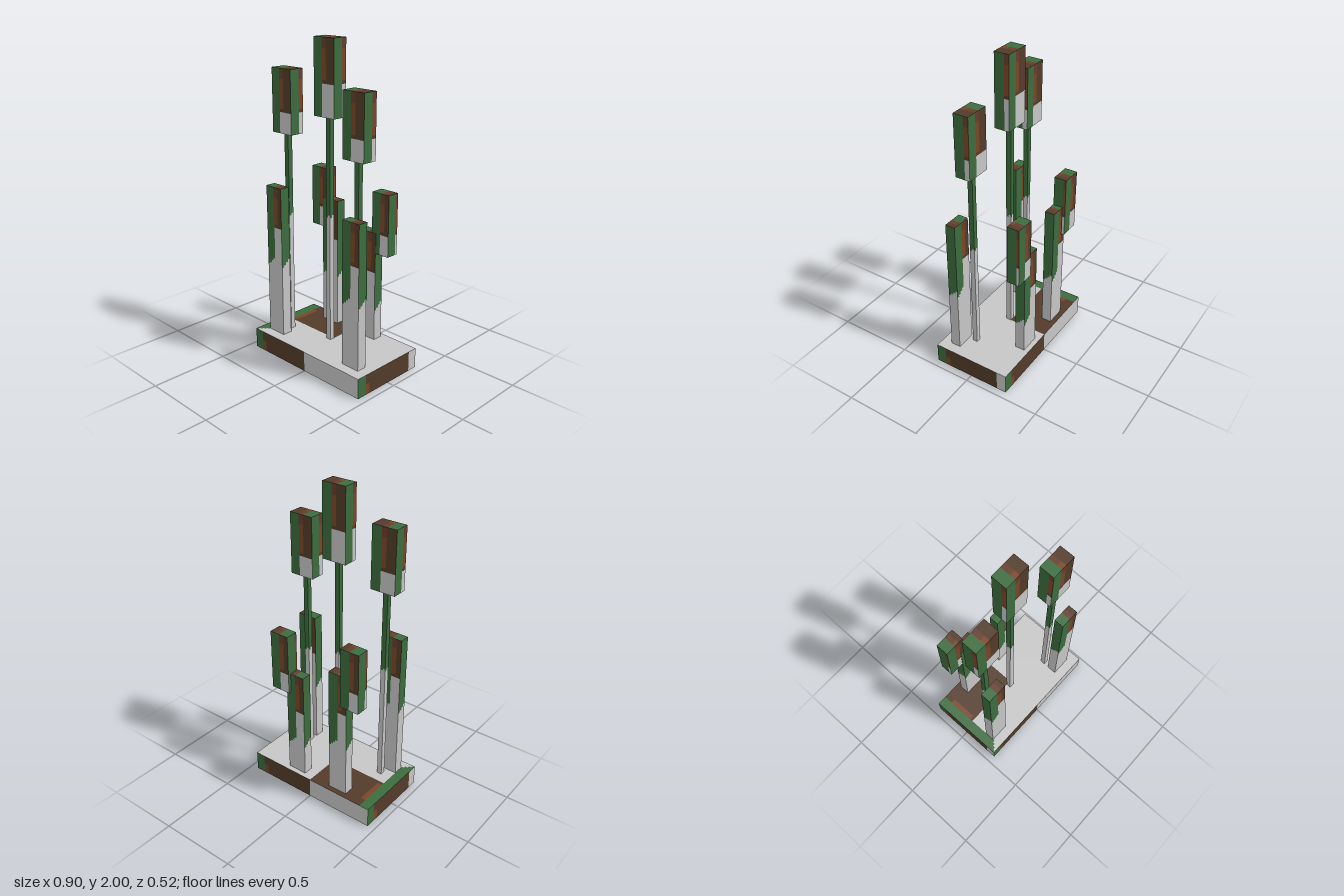
import * as THREE from 'three';

const U = 2 / 62; // one grid unit; colour patches are measured in it
const mat = (name, color) => {
  const m = new THREE.MeshStandardMaterial({ color });
  m.name = name;
  return m;
};

// Colour patches on every face, measured from its upper left corner: [colour, u0, v0, u1, v1]
const GREEN = 0, BROWN = 1, RUST = 2, UMBER = 3, PALE = 4;
const INF = 1000;
function makePatches(topStrip) {
  const list = [
    [topStrip, 2, 0, 3, 1.9],
    [RUST, 2, 1.9, 3, 7.4],
    [BROWN, 2, 7.4, 3, 8],
    [BROWN, 3, 0, 14, 8],
    [PALE, 2, 8, 14, INF],
    [PALE, 14, 0, INF, INF],
  ];
  // green band with a stepped lower end
  [15.8, 15.4, 14.9, 14.4].forEach((end, i) => {
    list.push([GREEN, i / 2, 0, (i + 1) / 2, end], [PALE, i / 2, end, (i + 1) / 2, INF]);
  });
  return list;
}

// The six faces: outward normal, u direction (right), v direction (down)
const FACES = [
  [[0, 0, 1], [1, 0, 0], [0, -1, 0]],
  [[0, 0, -1], [-1, 0, 0], [0, -1, 0]],
  [[1, 0, 0], [0, 0, -1], [0, -1, 0]],
  [[-1, 0, 0], [0, 0, 1], [0, -1, 0]],
  [[0, 1, 0], [1, 0, 0], [0, 0, 1]],
  [[0, -1, 0], [1, 0, 0], [0, 0, -1]],
].map((f) => f.map((a) => new THREE.Vector3(...a)));

// Box between two corners, each face cut into its colour patches
function patchedBox(name, min, max, materials, patches, stretch = 1) {
  const lo = new THREE.Vector3(...min), hi = new THREE.Vector3(...max);
  const center = lo.clone().add(hi).multiplyScalar(0.5);
  const size = hi.clone().sub(lo);
  const buckets = materials.map(() => ({ pos: [], nor: [] }));
  for (const [n, u, v] of FACES) {
    const w = Math.abs(u.dot(size)), h = Math.abs(v.dot(size)), d = Math.abs(n.dot(size));
    const origin = center.clone().addScaledVector(n, d / 2)
      .addScaledVector(u, -w / 2).addScaledVector(v, -h / 2);
    const at = (a, b) => origin.clone().addScaledVector(u, a).addScaledVector(v, b).toArray();
    for (const [c, pu0, pv0, pu1, pv1] of patches) {
      const u0 = pu0 * U, v0 = pv0 * U * stretch;
      const u1 = Math.min(pu1 * U, w), v1 = Math.min(pv1 * U * stretch, h);
      if (u1 - u0 < 1e-5 || v1 - v0 < 1e-5) continue;
      const a = at(u0, v0), b = at(u0, v1), e = at(u1, v1), f = at(u1, v0);
      buckets[c].pos.push(...a, ...b, ...e, ...a, ...e, ...f);
      for (let i = 0; i < 6; i++) buckets[c].nor.push(n.x, n.y, n.z);
    }
  }
  const geo = new THREE.BufferGeometry();
  const pos = [], nor = [];
  buckets.forEach((b, i) => {
    if (b.pos.length) geo.addGroup(pos.length / 3, b.pos.length / 3, i);
    pos.push(...b.pos);
    nor.push(...b.nor);
  });
  geo.setAttribute('position', new THREE.Float32BufferAttribute(pos, 3));
  geo.setAttribute('normal', new THREE.Float32BufferAttribute(nor, 3));
  const mesh = new THREE.Mesh(geo, materials);
  mesh.name = name;
  return mesh;
}

export function createModel() {
  const model = new THREE.Group();
  model.name = 'reedBed';
  const materials = [
    mat('green', 0x3c6c3e),
    mat('darkBrown', 0x533b29),
    mat('rust', 0x7a4627),
    mat('umber', 0x663d2c),
    mat('paleGrey', 0xc6c6c6),
  ];
  const plain = makePatches(BROWN), banded = makePatches(UMBER);
  const ground = 4 * U;
  const add = (name, min, max, patches = banded, stretch = 1) =>
    model.add(patchedBox(name, min, max, materials, patches, stretch));

  // base slab
  add('base', [-14 * U, 0, -8 * U], [14 * U, ground, 8 * U], plain);

  // tall reeds: thin stem with a block head [x, z, head bottom, head height, green stretch]
  [
    [-12, 1, 44, 12, 1.02],
    [-3, -1, 48, 14, 1.2],
    [6, 1, 42, 12, 1.02],
  ].forEach(([x, z, y, h, stretch]) => {
    add('reedStem', [(x + 2) * U, ground, (z + 1) * U], [(x + 3) * U, y * U, (z + 2) * U], banded, stretch);
    add('reedHead', [x * U, y * U, z * U], [(x + 5) * U, (y + h) * U, (z + 3) * U]);
  });

  // flat upright leaves [x, z, top]
  [
    [-12, 4, 34],
    [8, 4, 32],
    [-8, -7, 30],
    [2, -7, 26],
  ].forEach(([x, z, top]) =>
    add('leaf', [x * U, ground, z * U], [(x + 4) * U, top * U, (z + 2) * U]));

  // smaller heads joined to the rear leaves [x, bottom]
  [
    [-11, 24],
    [5, 22],
  ].forEach(([x, y]) =>
    add('rearHead', [x * U, y * U, -7.6 * U], [(x + 4) * U, (y + 12) * U, -5.08 * U]));

  return model;
}
